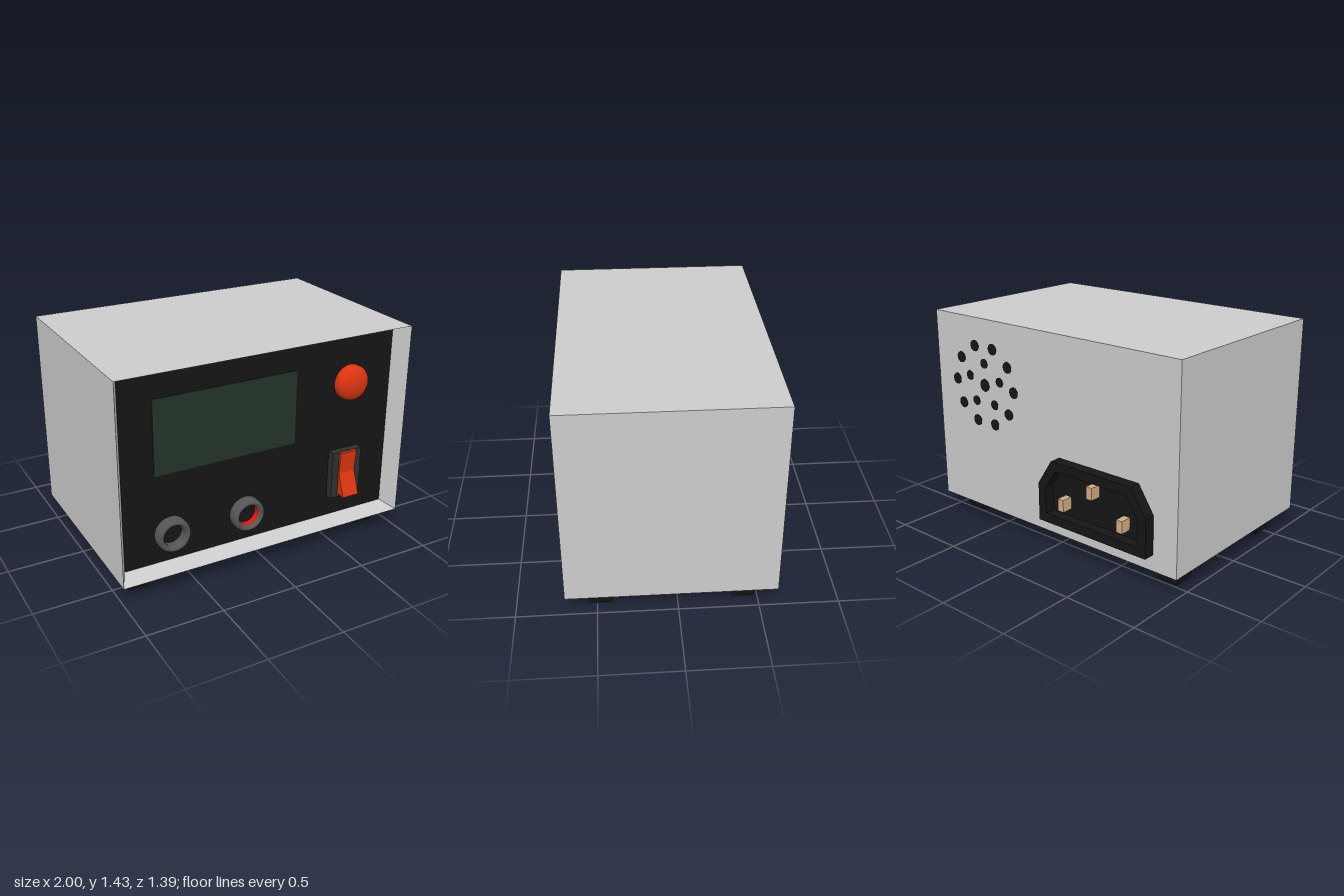
import * as THREE from 'three';

const BACK = -0.615, FRONT = 0.695, PANEL = 0.58;
const mat = (color, extra = {}) => new THREE.MeshStandardMaterial({ color, ...extra });
const grey = mat(0xcccccc, { flatShading: true, side: THREE.DoubleSide });
const black = mat(0x151515, { flatShading: true });
const darkGrey = mat(0x2e2e2e);
const ringGrey = mat(0x555555);
const red = mat(0xdc3510);
const sleeveRed = mat(0xd81a10, { side: THREE.DoubleSide });
const sleeveGrey = mat(0x555555, { side: THREE.DoubleSide });
const green = mat(0x22332a);
const brass = mat(0xd2ab88);

function add(parent, name, geometry, material, x = 0, y = 0, z = 0) {
  const mesh = new THREE.Mesh(geometry, material);
  mesh.name = name;
  mesh.position.set(x, y, z);
  parent.add(mesh);
  return mesh;
}

// Rectangle loop, counter-clockwise seen from the front
const rectLoop = (x, y0, y1, z) => [[-x, y0, z], [x, y0, z], [x, y1, z], [-x, y1, z]];

// Skin successive four-corner loops and cap the first one
function loft(loops) {
  const pos = [];
  const quad = (a, b, c, d) => pos.push(...a, ...b, ...c, ...a, ...c, ...d);
  for (let k = 0; k + 1 < loops.length; k++)
    for (let i = 0; i < 4; i++) {
      const j = (i + 1) % 4;
      quad(loops[k][i], loops[k][j], loops[k + 1][j], loops[k + 1][i]);
    }
  const [a, b, c, d] = loops[0];
  quad(a, d, c, b);
  const g = new THREE.BufferGeometry();
  g.setAttribute('position', new THREE.Float32BufferAttribute(pos, 3));
  g.computeVertexNormals();
  return g;
}

// Revolve a profile of [radius, height] around the z axis
const revolve = (pts) =>
  new THREE.LatheGeometry(pts.map(([r, h]) => new THREE.Vector2(r, h)), 40).rotateX(Math.PI / 2);

const shapeOf = (pts) => new THREE.Shape(pts.map(([x, y]) => new THREE.Vector2(x, y)));
const extrude = (shape, depth) => new THREE.ExtrudeGeometry(shape, { depth, bevelEnabled: false });

export function createModel() {
  const model = new THREE.Group();
  model.name = 'benchPowerSupply';

  // Case with a sloped frame around the recessed front panel
  add(model, 'case', loft([
    rectLoop(1, 0.125, 1.43, BACK),
    rectLoop(1, 0.125, 1.43, FRONT),
    rectLoop(0.945, 0.16, 1.4, PANEL),
  ]), grey);
  add(model, 'frontPanel', new THREE.BoxGeometry(1.9, 1.25, 0.02), black, 0, 0.78, PANEL - 0.01);
  add(model, 'screen', new THREE.BoxGeometry(0.965, 0.485, 0.01), green, -0.2525, 0.9925, PANEL + 0.001);

  // Tapered feet
  const footGeo = new THREE.CylinderGeometry(0.0925 * Math.SQRT2, 0.0675 * Math.SQRT2, 0.125, 4, 1)
    .rotateY(Math.PI / 4);
  for (const x of [-0.84, 0.84])
    for (const z of [0.4775, -0.41]) add(model, 'foot', footGeo, black, x, 0.0625, z);

  // Domed push button
  const dome = [[0.115, 0], [0.115, 0.03]];
  for (let i = 1; i <= 8; i++) {
    const a = (i / 8) * Math.PI / 2;
    dome.push([Math.max(0.115 * Math.cos(a), 0.0001), 0.03 + 0.06 * Math.sin(a)]);
  }
  add(model, 'pushButton', revolve(dome), red, 0.63, 1.09, PANEL);

  // Output sockets: rounded collar, inner sleeve and dark bottom
  const collarGeo = revolve([[0.11, 0], [0.11, 0.045], [0.105, 0.06], [0.095, 0.07],
    [0.085, 0.07], [0.075, 0.062], [0.069, 0.05]]);
  const sleeveGeo = new THREE.CylinderGeometry(0.069, 0.069, 0.05, 40, 1, true).rotateX(Math.PI / 2);
  for (const [name, x, sleeve] of [['negative', -0.635, sleeveGrey], ['positive', -0.12, sleeveRed]]) {
    const socket = new THREE.Group();
    socket.name = name + 'Socket';
    socket.position.set(x, 0.35, PANEL);
    add(socket, 'collar', collarGeo, ringGrey);
    add(socket, 'sleeve', sleeveGeo, sleeve, 0, 0, 0.025);
    add(socket, 'socketBottom', new THREE.CircleGeometry(0.069, 40), black, 0, 0, 0.003);
    model.add(socket);
  }

  // Rocker switch: housing and a V-shaped rocker, profile drawn as [z, y]
  const rocker = new THREE.Group();
  rocker.name = 'powerSwitch';
  add(rocker, 'switchHousing', new THREE.BoxGeometry(0.22, 0.325, 0.05), darkGrey, 0.61, 0.4675, PANEL + 0.025);
  const rockerGeo = extrude(shapeOf([[0.59, 0.33], [0.697, 0.33], [0.637, 0.48], [0.65, 0.628], [0.59, 0.628]]), 0.12);
  add(rocker, 'rocker', rockerGeo.rotateY(-Math.PI / 2), red, 0.67, 0, 0);
  model.add(rocker);

  // Round vent pattern on the back
  const vent = new THREE.Group();
  vent.name = 'vent';
  const hole = (r, x, y) => add(vent, 'ventHole',
    new THREE.CylinderGeometry(r, r, 0.006, 24).rotateX(Math.PI / 2), black, x, y, 0);
  hole(0.042, 0, 0);
  for (const [count, radius, size, start] of [[5, 0.145, 0.032, 0], [10, 0.265, 0.037, Math.PI / 10]])
    for (let i = 0; i < count; i++) {
      const a = start + (i / count) * Math.PI * 2;
      hole(size, radius * Math.sin(a), radius * Math.cos(a));
    }
  vent.position.set(0.555, 0.99, BACK);
  model.add(vent);

  // Power inlet: chamfered rim, dark floor and three contacts
  const inlet = new THREE.Group();
  inlet.name = 'powerInlet';
  inlet.position.set(-0.4075, 0.23, 0);
  const outline = [[-0.4225, 0], [0.4225, 0], [0.4225, 0.25], [0.312, 0.42], [-0.312, 0.42], [-0.4225, 0.25]];
  const opening = [[-0.362, 0.06], [0.362, 0.06], [0.362, 0.232], [0.28, 0.36], [-0.28, 0.36], [-0.362, 0.232]];
  const rim = shapeOf(outline);
  rim.holes.push(new THREE.Path(opening.map(([x, y]) => new THREE.Vector2(x, y))));
  add(inlet, 'inletRim', extrude(rim, 0.075), black, 0, 0, BACK - 0.075);
  add(inlet, 'inletFloor', extrude(shapeOf(opening), 0.01), black, 0, 0, BACK - 0.008);
  const contactGeo = new THREE.BoxGeometry(0.045, 0.08, 0.085);
  for (const [x, y] of [[-0.232, 0.15], [0, 0.295], [0.232, 0.15]])
    add(inlet, 'contact', contactGeo, brass, x, y, BACK - 0.0385);
  model.add(inlet);

  return model;
}
